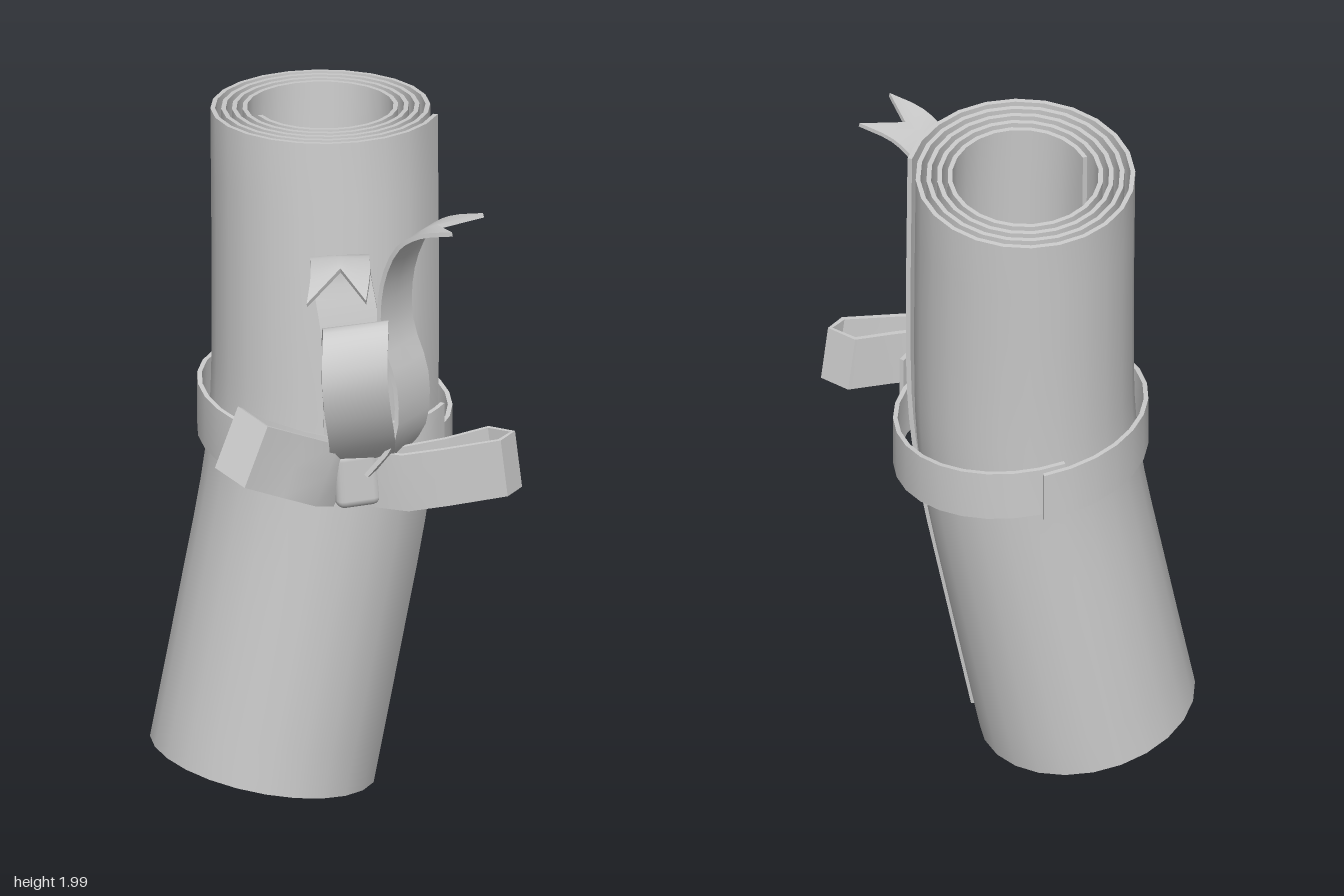
import * as THREE from 'three';
import { toCreasedNormals } from 'three/addons/utils/BufferGeometryUtils.js';
import { RoundedBoxGeometry } from 'three/addons/geometries/RoundedBoxGeometry.js';

const V = (x, y, z) => new THREE.Vector3(x, y, z);
const clamp = (t) => Math.min(1, Math.max(0, t));
const curve = (pts) => new THREE.CatmullRomCurve3(pts.map((p) => V(...p)), false, 'centripetal');

// Solid sheet of even thickness following the surface f(u, v)
function sheet(f, nu, nv, thickness) {
  const pos = [], idx = [], e = 1e-3;
  for (const side of [1, -1]) {
    for (let i = 0; i <= nu; i++) {
      for (let j = 0; j <= nv; j++) {
        const u = i / nu, v = j / nv;
        const du = f(clamp(u + e), v).sub(f(clamp(u - e), v));
        const dv = f(u, clamp(v + e)).sub(f(u, clamp(v - e)));
        const n = du.cross(dv).normalize();
        pos.push(...f(u, v).addScaledVector(n, side * thickness / 2).toArray());
      }
    }
  }
  const F = (i, j) => i * (nv + 1) + j;
  const B = (i, j) => F(i, j) + (nu + 1) * (nv + 1);
  const quad = (a, b, c, d) => idx.push(a, b, c, a, c, d);
  for (let i = 0; i < nu; i++) {
    for (let j = 0; j < nv; j++) {
      quad(F(i, j), F(i + 1, j), F(i + 1, j + 1), F(i, j + 1));
      quad(B(i, j), B(i, j + 1), B(i + 1, j + 1), B(i + 1, j));
    }
    quad(F(i, 0), B(i, 0), B(i + 1, 0), F(i + 1, 0));
    quad(F(i, nv), F(i + 1, nv), B(i + 1, nv), B(i, nv));
  }
  for (let j = 0; j < nv; j++) {
    quad(F(0, j), F(0, j + 1), B(0, j + 1), B(0, j));
    quad(F(nu, j), B(nu, j), B(nu, j + 1), F(nu, j + 1));
  }
  const g = new THREE.BufferGeometry();
  g.setAttribute('position', new THREE.Float32BufferAttribute(pos, 3));
  g.setIndex(idx);
  return toCreasedNormals(g, 0.6);
}

// Ribbon along a path; notch pulls the middle back near the end to make a fork
function ribbon(pts, width, segments, notch = 0) {
  const c = curve(pts), w = V(...width);
  return sheet((u, v) => {
    const inner = 1 - Math.abs(2 * v - 1);
    return c.getPoint(u - notch * inner * u ** 4).addScaledVector(w, v - 0.5);
  }, segments, 2, 0.013);
}

export function createModel() {
  const model = new THREE.Group();
  const material = new THREE.MeshStandardMaterial({ color: 0xcccccc, side: THREE.DoubleSide });
  const add = (name, geometry) => {
    const mesh = new THREE.Mesh(geometry, material);
    mesh.name = name;
    model.add(mesh);
    return mesh;
  };

  // Rolled paper: a spiral swept along a bent axis
  const axis = curve([
    [-0.165, 0.063, -0.108], [-0.085, 0.48, -0.108], [-0.012, 0.88, -0.108],
    [0.012, 1.1, -0.112], [0.02, 1.4, -0.125], [0.025, 1.972, -0.162],
  ]);
  const turns = 4.4, seam = 0.45;
  add('rolledPaper', sheet((u, v) => {
    const a = seam + u * turns * Math.PI * 2;
    const r = 0.32 - 0.13 * u;
    const t = axis.getTangent(v);
    const x = V(1, 0, 0).addScaledVector(t, -t.x).normalize();
    const z = x.clone().cross(t);
    return axis.getPoint(v).addScaledVector(x, r * Math.cos(a)).addScaledVector(z, 1.02 * r * Math.sin(a));
  }, 106, 16, 0.013));

  // Band tied round the middle, overlapping itself at the back
  add('ribbonBand', sheet((u, v) => {
    const a = -1.72 + u * (Math.PI * 2 + 0.2);
    const r = 0.338 + 0.03 * u * u;
    const x = Math.cos(a), z = Math.sin(a);
    return V(0.026 + r * x, 1.058 - 0.035 * x - 0.03 * z + (v - 0.5) * 0.155, -0.11 + r * z);
  }, 30, 1, 0.013));

  // Loose end of the band showing above it beside the knot
  add('bandTuck', ribbon([
    [0.1, 1.09, 0.222], [0.18, 1.09, 0.208], [0.25, 1.09, 0.175], [0.3, 1.095, 0.125],
  ], [0, 0.15, 0], 6));

  // Knot
  const knot = add('knot', new RoundedBoxGeometry(0.13, 0.17, 0.12, 2, 0.025));
  knot.position.set(0.015, 1.045, 0.27);
  knot.rotation.z = 0.06;

  // Side loops of the bow
  add('rightBowLoop', ribbon([
    [-0.02, 1.05, 0.27], [-0.165, 1.1, 0.285], [-0.285, 1.16, 0.31], [-0.36, 1.215, 0.345],
    [-0.3, 1.185, 0.425], [-0.185, 1.125, 0.375], [-0.085, 1.08, 0.35], [-0.02, 1.05, 0.29],
  ], [0.07, 0.17, -0.02], 7));
  add('leftBowLoop', ribbon([
    [0.04, 1.04, 0.26], [0.16, 1.04, 0.3], [0.28, 1.05, 0.295], [0.405, 1.065, 0.277],
    [0.462, 1.07, 0.335], [0.415, 1.065, 0.375], [0.25, 1.05, 0.37], [0.14, 1.04, 0.36], [0.04, 1.04, 0.3],
  ], [-0.02, 0.17, 0], 8));

  // Upright loop
  add('uprightBowLoop', ribbon([
    [0.03, 1.06, 0.27], [0.015, 1.17, 0.37], [-0.01, 1.28, 0.43], [-0.025, 1.4, 0.45],
    [-0.015, 1.49, 0.415], [0, 1.52, 0.36], [0.01, 1.48, 0.3], [0.02, 1.36, 0.26], [0.03, 1.06, 0.25],
  ], [0.18, 0.02, 0.03], 24));

  // Forked ribbon tails
  add('rightTail', ribbon([
    [0.04, 1.06, 0.26], [0.03, 1.3, 0.25], [0.01, 1.5, 0.215], [-0.005, 1.62, 0.185],
    [-0.01, 1.665, 0.2], [-0.025, 1.68, 0.27], [-0.045, 1.675, 0.36], [-0.08, 1.64, 0.465],
  ], [0.16, 0.01, 0.04], 21, 0.2));
  add('leftTail', ribbon([
    [0.09, 1.06, 0.28], [0.16, 1.17, 0.31], [0.17, 1.32, 0.3], [0.135, 1.47, 0.26],
    [0.14, 1.62, 0.26], [0.175, 1.75, 0.31], [0.225, 1.8, 0.36], [0.305, 1.825, 0.42],
  ], [-0.115, 0, 0.115], 21, 0.13));

  return model;
}
